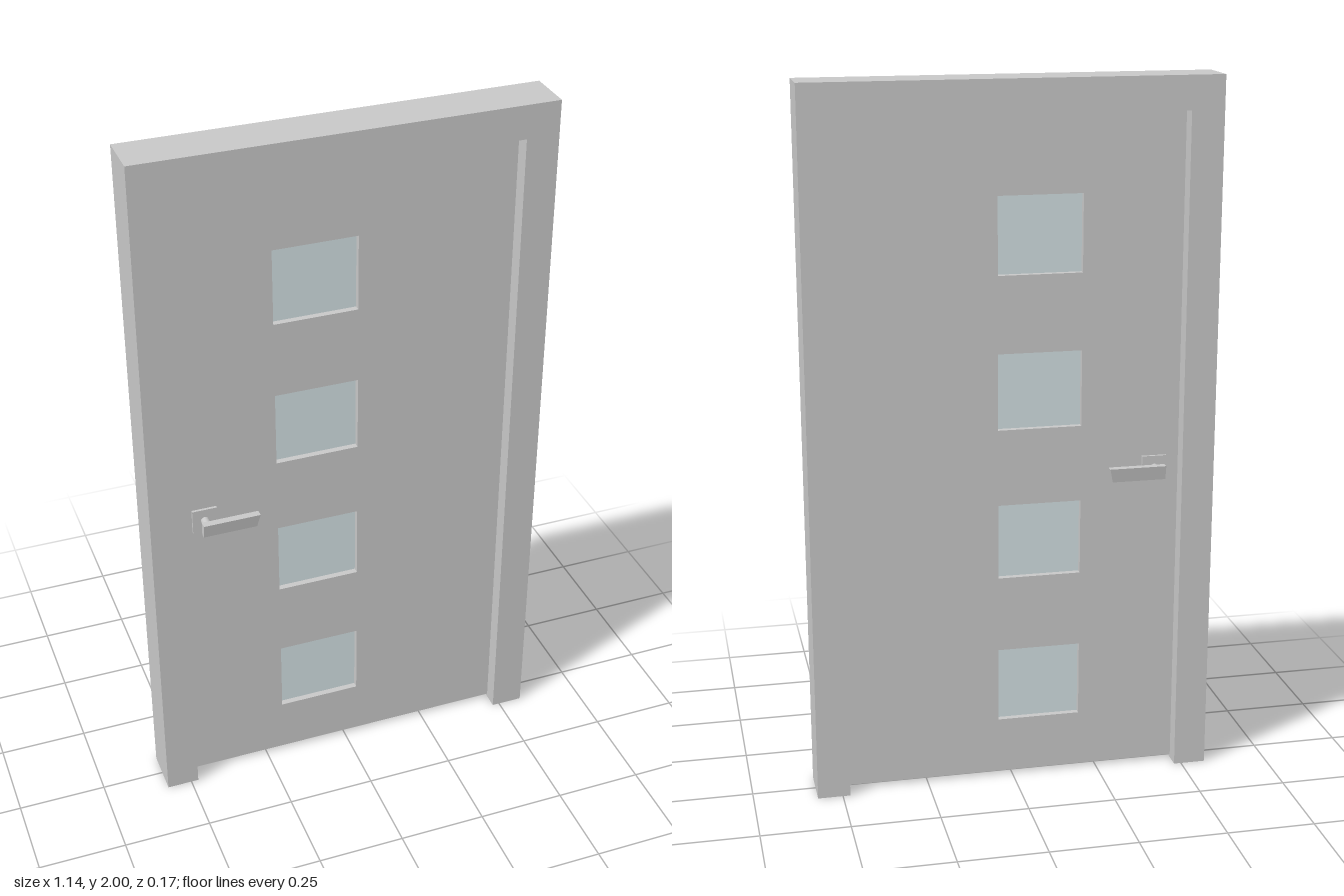
import * as THREE from 'three';

const grey = new THREE.MeshStandardMaterial({ color: 0xc7c7c7 });
grey.name = 'light grey paint';
const glass = new THREE.MeshStandardMaterial({ color: 0xd2dfe2 });
glass.name = 'pale glass';

function addMesh(parent, name, geometry, material, x = 0, y = 0, z = 0) {
  const mesh = new THREE.Mesh(geometry, material);
  mesh.name = name;
  mesh.position.set(x, y, z);
  parent.add(mesh);
  return mesh;
}

const outline = (pts) => pts.map(([x, y]) => new THREE.Vector2(x, y));
const rect = (x0, y0, x1, y1) => outline([[x0, y0], [x1, y0], [x1, y1], [x0, y1]]);

// Extrude a flat shape, centred on z = 0
function slab(shape, depth) {
  return new THREE.ExtrudeGeometry(shape, { depth, bevelEnabled: false }).translate(0, 0, -depth / 2);
}

// Lever handle on one face of the door; side is +1 (front) or -1 (back)
function createHandle(side) {
  const handle = new THREE.Group();
  handle.name = side > 0 ? 'frontHandle' : 'backHandle';
  addMesh(handle, 'rosette', new THREE.BoxGeometry(0.07, 0.07, 0.008), grey, -0.408, 0.907, side * 0.026);
  const neck = new THREE.CylinderGeometry(0.012, 0.012, 0.038, 20).rotateX(Math.PI / 2);
  addMesh(handle, 'neck', neck, grey, -0.408, 0.907, side * 0.048);

  // Lever narrows towards its underside at the tip and outer face
  let lever = new THREE.BoxGeometry(0.161, 0.04, 0.021);
  const p = lever.attributes.position;
  for (let i = 0; i < p.count; i++) {
    if (p.getY(i) > 0) continue;
    if (p.getX(i) > 0) p.setX(i, p.getX(i) - 0.009);
    if (p.getZ(i) * side > 0) p.setZ(i, p.getZ(i) - side * 0.007);
  }
  lever = lever.toNonIndexed();
  lever.computeVertexNormals();
  addMesh(handle, 'lever', lever, grey, -0.3465, 0.907, side * 0.0745);
  return handle;
}

export function createModel() {
  const door = new THREE.Group();
  door.name = 'door';

  // Frame: two jambs and a head, open at the bottom
  const frame = new THREE.Shape(outline([
    [-0.571, 0], [-0.479, 0], [-0.479, 1.906], [0.479, 1.906],
    [0.479, 0], [0.571, 0], [0.571, 2], [-0.571, 2],
  ]));
  addMesh(door, 'frame', slab(frame, 0.134), grey);

  // Leaf with a column of four windows
  const leaf = new THREE.Shape(rect(-0.479, 0.01, 0.479, 1.906));
  const windows = [0.28, 0.714, 1.148, 1.581];
  for (const y of windows) {
    leaf.holes.push(new THREE.Path(rect(-0.197, y - 0.108, 0.039, y + 0.108).reverse()));
    addMesh(door, 'windowPane', new THREE.BoxGeometry(0.236, 0.216, 0.009), glass, -0.079, y, 0);
  }
  addMesh(door, 'leaf', slab(leaf, 0.044), grey);

  for (const side of [1, -1]) door.add(createHandle(side));
  return door;
}
